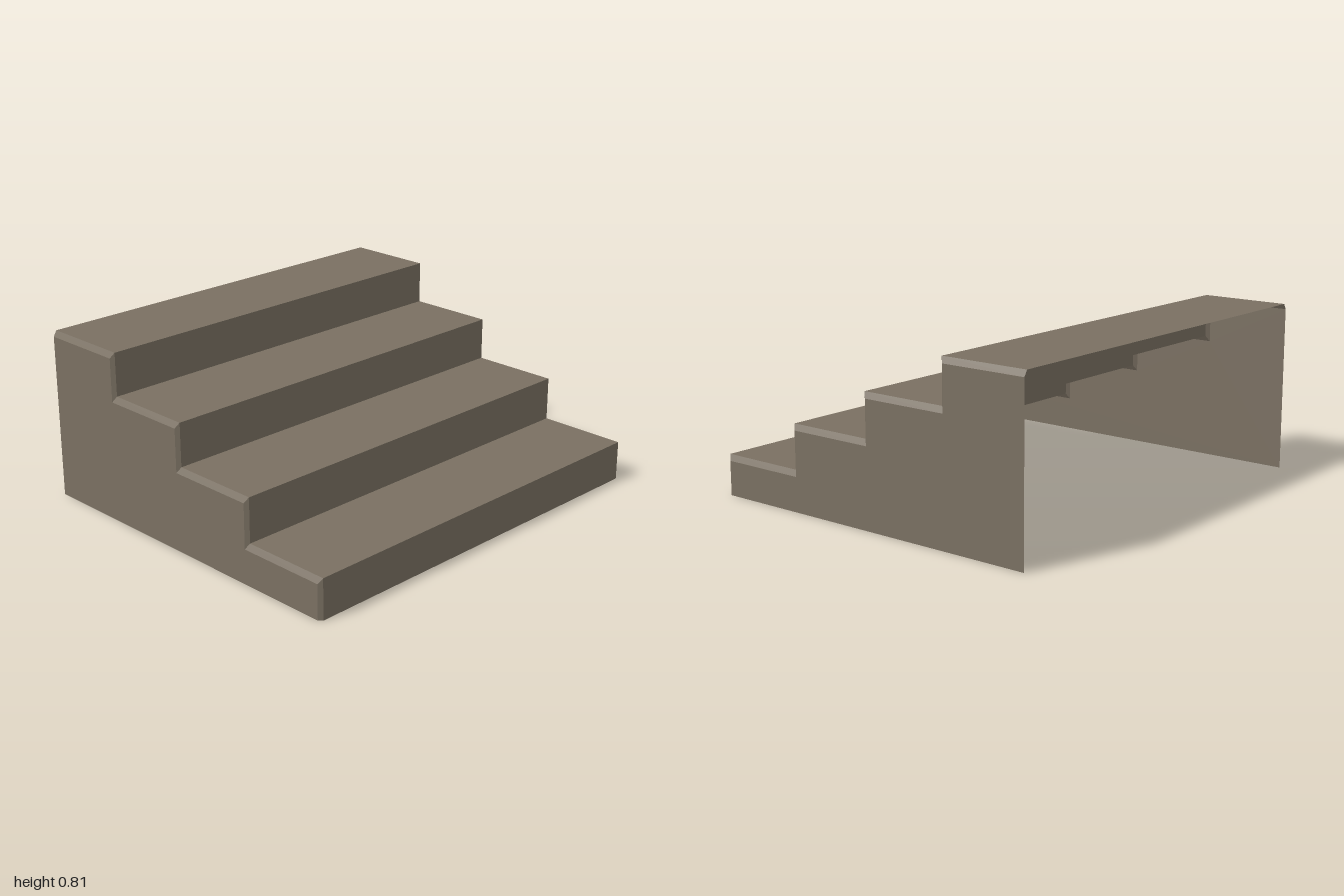
import * as THREE from 'three';

const W = 1, BEVEL_X = 0.016, BEVEL_Y = 0.027, BEVEL_Z = 0.016;
const BACK = -0.865;
const FRONTS = [0.865, 0.432, 0, -0.432];
const HEIGHTS = [0.19, 0.4, 0.605, 0.81];

// Stepped outline as [z, y], from the front foot up to the top back edge
function profile(dz, dy) {
  const pts = [];
  FRONTS.forEach((z, i) => {
    pts.push([z - dz, i ? HEIGHTS[i - 1] - dy : 0], [z - dz, HEIGHTS[i] - dy]);
  });
  pts.push([BACK, HEIGHTS[3] - dy]);
  return pts;
}

// Flat-faced strip joining two equally long rows of points
function strip(rowA, rowB) {
  const pos = [];
  for (let i = 0; i < rowA.length - 1; i++) {
    const [a, b, c, d] = [rowA[i], rowB[i], rowB[i + 1], rowA[i + 1]];
    pos.push(...a, ...b, ...c, ...a, ...c, ...d);
  }
  const g = new THREE.BufferGeometry();
  g.setAttribute('position', new THREE.Float32BufferAttribute(pos, 3));
  g.computeVertexNormals();
  return g;
}

export function createModel() {
  const group = new THREE.Group();
  group.name = 'staircase';
  const stone = new THREE.MeshStandardMaterial({ color: 0x7a7062, side: THREE.DoubleSide });
  stone.name = 'stone';
  const add = (geometry, name) => {
    const mesh = new THREE.Mesh(geometry, stone);
    mesh.name = name;
    group.add(mesh);
  };

  const outer = profile(0, 0);
  const inner = profile(BEVEL_Z, BEVEL_Y);
  const row = (pts, x) => pts.map(([z, y]) => [x, y, z]);

  // Treads and risers
  const xs = W - BEVEL_X;
  for (let i = 0; i < outer.length - 1; i++) {
    const edge = outer.slice(i, i + 2);
    add(strip(row(edge, -xs), row(edge, xs)), (i % 2 ? 'tread' : 'riser') + (Math.floor(i / 2) + 1));
  }

  // Bevelled edges and stepped side walls; back and underside stay open
  for (const s of [1, -1]) {
    const side = s > 0 ? 'left' : 'right';
    const a = row(outer, s * xs), b = row(inner, s * W);
    add(s > 0 ? strip(a, b) : strip(b, a), side + 'Bevel');

    const shape = new THREE.Shape([...inner, [BACK, 0]].map(([z, y]) => new THREE.Vector2(-s * z, y)));
    const wall = new THREE.ShapeGeometry(shape);
    wall.rotateY(s * Math.PI / 2);
    wall.translate(s * W, 0, 0);
    add(wall, side + 'Wall');
  }
  return group;
}
